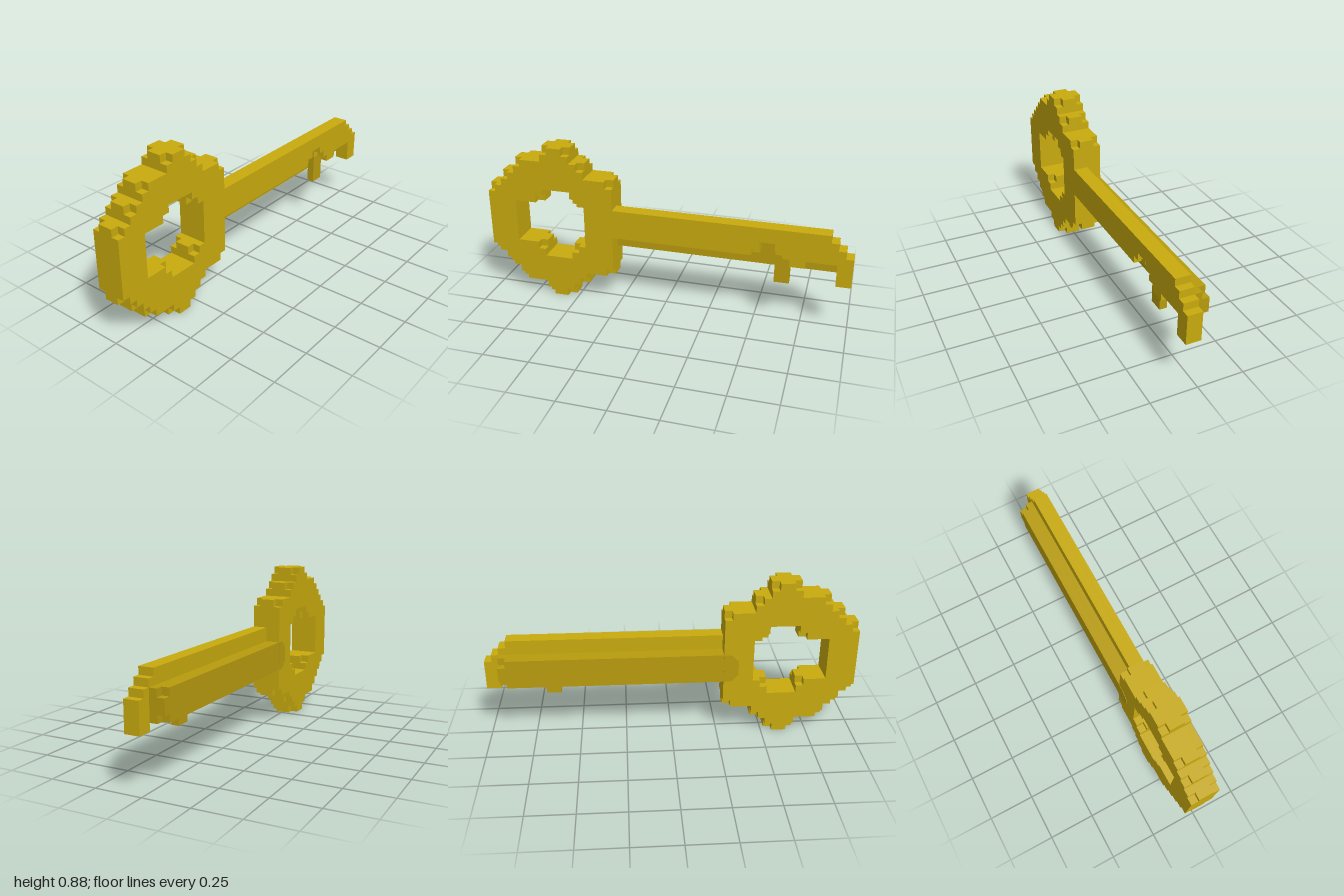
import * as THREE from 'three';

const V = 0.04; // one voxel

const gold = new THREE.MeshStandardMaterial({ color: 0xc8aa0e });
gold.name = 'gold';
const darkGold = new THREE.MeshStandardMaterial({ color: 0xb89b0e });
darkGold.name = 'darkGold';

// Cuts a one-voxel bite from every convex corner of a right-angled outline.
function notch(points, accept = () => true) {
  const n = points.length;
  return points.flatMap((p, i) => {
    const a = points[(i + n - 1) % n], b = points[(i + 1) % n];
    const inX = Math.sign(p[0] - a[0]), inY = Math.sign(p[1] - a[1]);
    const outX = Math.sign(b[0] - p[0]), outY = Math.sign(b[1] - p[1]);
    if (inX * outY - inY * outX <= 0 || !accept(p)) return [p];
    return [
      [p[0] - inX * V, p[1] - inY * V],
      [p[0] + (outX - inX) * V, p[1] + (outY - inY) * V],
      [p[0] + outX * V, p[1] + outY * V],
    ];
  });
}

const toVectors = (points) => points.map(([x, y]) => new THREE.Vector2(x, y));

// Extrudes an outline between two depths.
function slab(group, name, material, outline, z0, z1, hole) {
  const shape = new THREE.Shape(toVectors(outline));
  if (hole) shape.holes.push(new THREE.Path(toVectors(hole)));
  const geometry = new THREE.ExtrudeGeometry(shape, { depth: z1 - z0, bevelEnabled: false });
  geometry.translate(0, 0, z0);
  const mesh = new THREE.Mesh(geometry, material);
  mesh.name = name;
  group.add(mesh);
}

const rect = (x0, y0, x1, y1) => [[x0, y0], [x1, y0], [x1, y1], [x0, y1]];

export function createModel() {
  const key = new THREE.Group();
  key.name = 'key';

  // Ring-shaped handle: full middle layer, notched outer layers
  const lower = [
    [-1, 0.24], [-0.92, 0.24], [-0.92, 0.16], [-0.84, 0.16], [-0.84, 0.08], [-0.68, 0.08], [-0.68, 0],
    [-0.52, 0], [-0.52, 0.08], [-0.44, 0.08], [-0.44, 0.16], [-0.28, 0.16],
  ];
  const upper = lower.map(([x, y]) => [x, 0.88 - y]).reverse();
  const ring = [...lower, ...upper];
  const hole = [
    [-0.84, 0.32], [-0.84, 0.56], [-0.68, 0.56], [-0.68, 0.64], [-0.52, 0.64], [-0.52, 0.56],
    [-0.44, 0.56], [-0.44, 0.32], [-0.52, 0.32], [-0.52, 0.24], [-0.68, 0.24], [-0.68, 0.32],
  ];
  const handle = new THREE.Group();
  handle.name = 'handle';
  slab(handle, 'handleCore', gold, ring, -V, V, hole);
  slab(handle, 'handleFront', gold, notch(ring), V, 2 * V, notch(hole));
  slab(handle, 'handleBack', gold, notch(ring), -2 * V, -V, notch(hole));
  key.add(handle);

  // Front half of the shaft with its stepped tip and end tooth
  const shaft = [
    [-0.28, 0.4], [0.52, 0.4], [0.52, 0.48], [0.6, 0.48], [0.6, 0.4], [0.68, 0.4], [0.68, 0.36],
    [0.76, 0.36], [0.76, 0.4], [0.92, 0.4], [0.92, 0.28], [1, 0.28], [1, 0.44], [0.96, 0.44],
    [0.96, 0.48], [0.92, 0.48], [0.92, 0.52], [0.88, 0.52], [0.88, 0.56], [-0.28, 0.56],
  ];
  const besidePocket = ([x, y]) => y === 0.4 && (x === 0.52 || x === 0.6);
  slab(key, 'shaftFrontInner', gold, shaft, 0, V);
  slab(key, 'shaftFrontOuter', gold, notch(shaft, besidePocket), V, 2 * V);

  // Darker back half of the shaft
  const back = rect(-0.28, 0.32, 0.92, 0.48);
  slab(key, 'shaftBackInner', darkGold, back, -V, 0);
  slab(key, 'shaftBackOuter', darkGold, notch(back, ([x]) => x > 0), -2 * V, -V);

  // Shaft root showing on the back of the handle
  const root = [[-0.36, 0.36], [-0.32, 0.32], [-0.28, 0.32], [-0.28, 0.48], [-0.32, 0.48], [-0.36, 0.44]];
  slab(key, 'shaftRoot', darkGold, root, -2 * V - 0.002, -2 * V);

  // Small middle tooth
  slab(key, 'middleTooth', darkGold, rect(0.6, 0.24, 0.68, 0.4), 0, V);

  return key;
}
